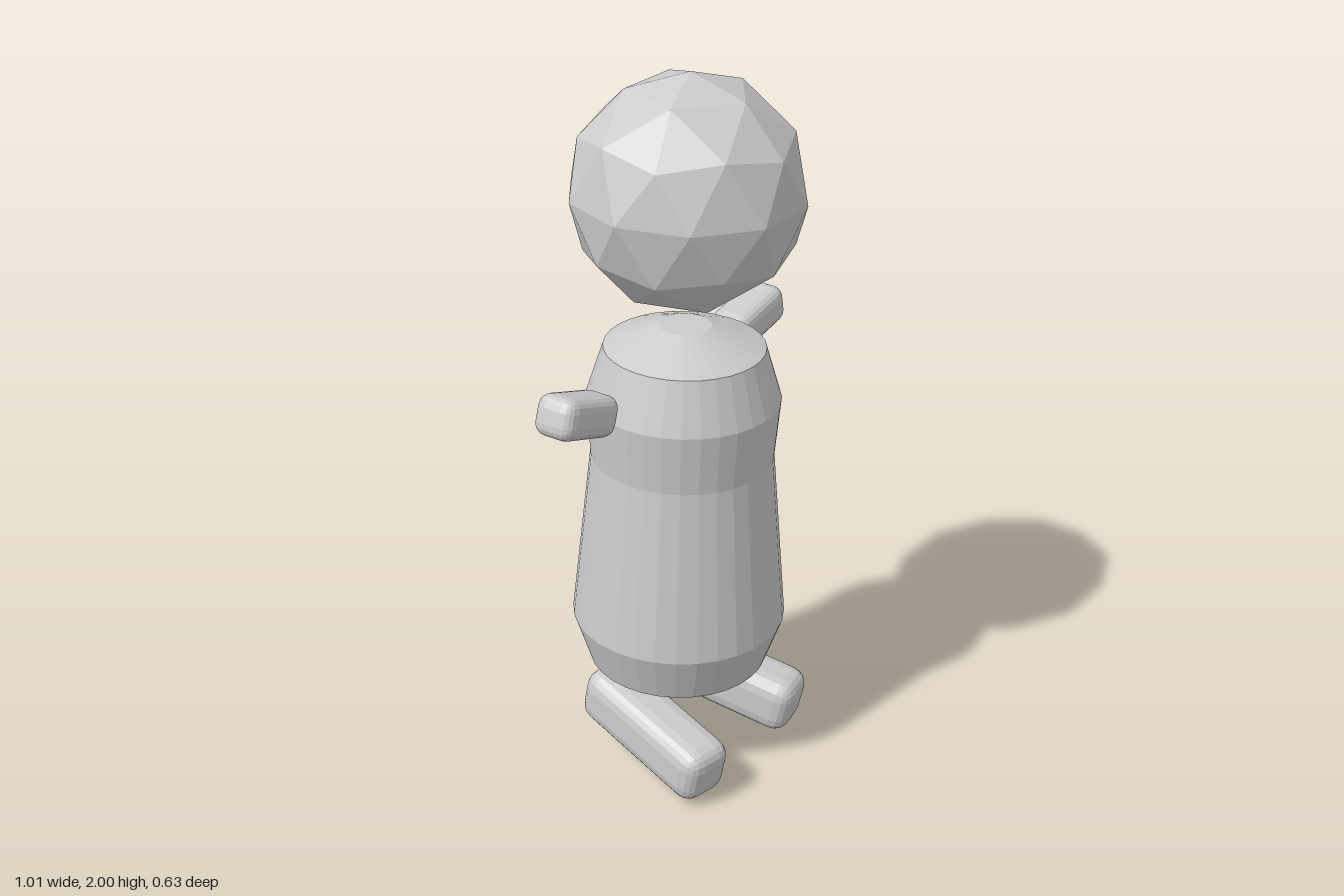
import * as THREE from 'three';
import { RoundedBoxGeometry } from 'three/addons/geometries/RoundedBoxGeometry.js';

const material = new THREE.MeshStandardMaterial({ color: 0xcccccc, flatShading: true });
const LEAN = 0.026; // slight forward lean shared by head and body

function part(name, geometry, x = 0, y = 0, z = 0) {
  const mesh = new THREE.Mesh(geometry, material);
  mesh.name = name;
  mesh.position.set(x, y, z);
  return mesh;
}

// Faceted ball with a vertex at each pole
function createHead() {
  const geometry = new THREE.IcosahedronGeometry(0.315, 1);
  geometry.rotateZ(Math.atan(2 / (1 + Math.sqrt(5))));
  geometry.rotateY(Math.PI / 2);
  const head = part('head', geometry, -0.005, 1.686, 0.015);
  head.rotation.x = LEAN;
  return head;
}

// Turned body: radius and height from its base
function createBody() {
  const profile = [
    [0, 0], [0.08, 0], [0.249, 0.055], [0.296, 0.195], [0.249, 0.69],
    [0.262, 0.86], [0.217, 1.005], [0.07, 1.065], [0, 1.065],
  ].map(([r, y]) => new THREE.Vector2(r, y));
  const body = part('body', new THREE.LatheGeometry(profile, 32), -0.005, 0.25, -0.021);
  body.rotation.x = LEAN;
  return body;
}

// Short rounded arm, raised outwards or dropped by its tilt
function createArm(name, x, y, tilt) {
  const arm = part(name, new RoundedBoxGeometry(0.226, 0.112, 0.122, 2, 0.036), x, y, -0.057);
  arm.rotation.z = tilt;
  return arm;
}

// Foot with its toe turned out and down, and a narrow ridge under the sole
function createFoot(name, side) {
  const foot = new THREE.Group();
  foot.name = name;
  foot.add(part('footBlock', new RoundedBoxGeometry(0.158, 0.168, 0.465, 2, 0.05)));
  foot.add(part('soleRidge', new THREE.BoxGeometry(0.03, 0.05, 0.29), 0, -0.085, 0));
  foot.position.set(side * 0.177 - 0.002, 0.143, 0.022);
  foot.rotation.set(0.225, side * 0.19, 0, 'YXZ');
  return foot;
}

export function createModel() {
  const model = new THREE.Group();
  model.name = 'figure';
  model.add(
    createHead(),
    createBody(),
    createArm('leftArm', 0.391, 1.182, 0.2),
    createArm('rightArm', -0.391, 1.186, -0.32),
    createFoot('leftFoot', 1),
    createFoot('rightFoot', -1),
  );
  return model;
}
